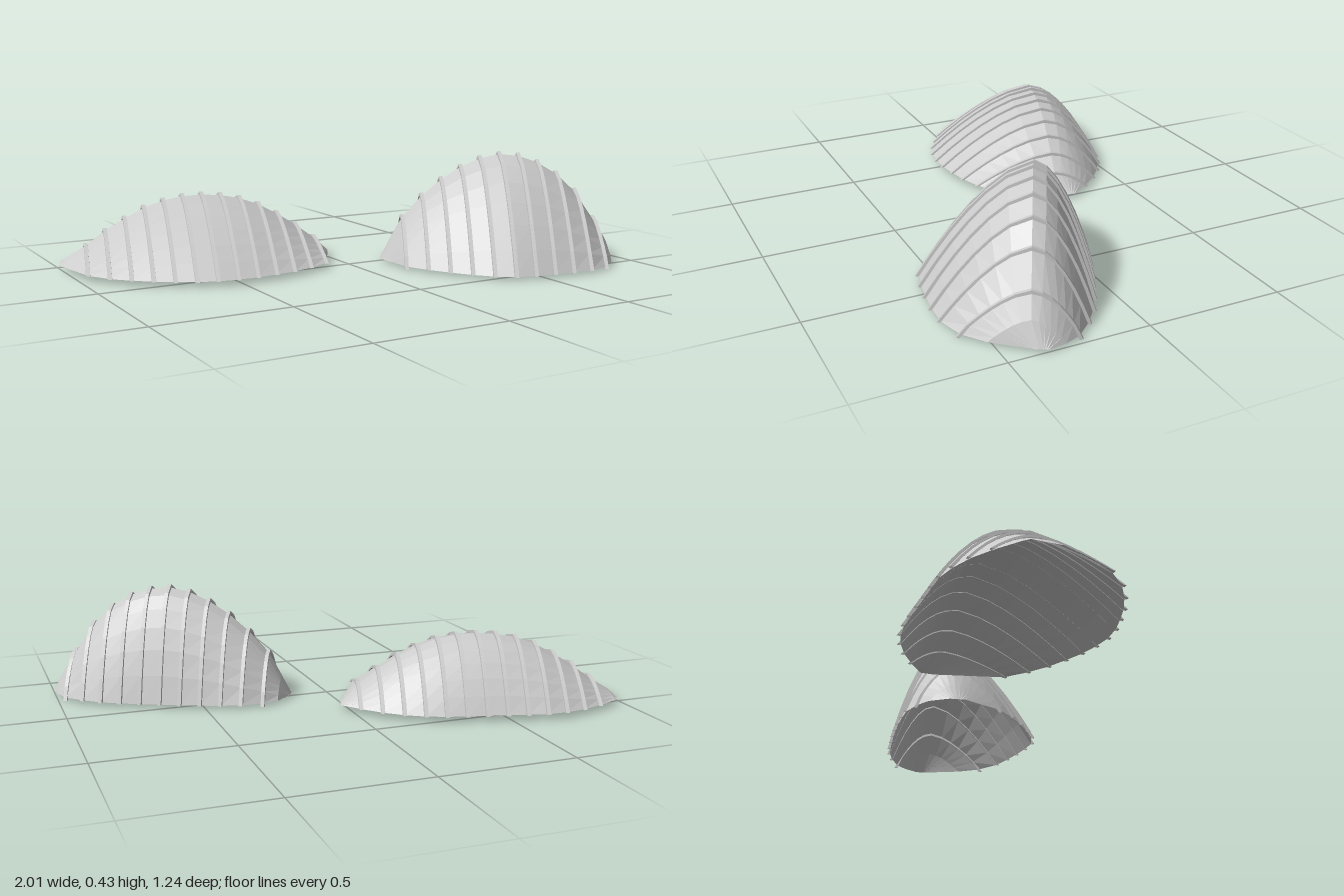
import * as THREE from 'three';

const material = new THREE.MeshStandardMaterial({ color: 0xcccccc, flatShading: true, side: THREE.DoubleSide });
const SIDE = 6; // facets on each side of the crown

// Surface through rows of points that all have the same length
function loft(rows, name) {
  const n = rows[0].length, index = [];
  for (let i = 0; i < rows.length - 1; i++)
    for (let j = 0; j < n - 1; j++) {
      const a = i * n + j, b = a + n;
      index.push(a, a + 1, b, a + 1, b + 1, b);
    }
  const geometry = new THREE.BufferGeometry();
  geometry.setAttribute('position', new THREE.Float32BufferAttribute(rows.flat(2), 3));
  geometry.setIndex(index);
  geometry.computeVertexNormals();
  const mesh = new THREE.Mesh(geometry, material);
  mesh.name = name;
  return mesh;
}

// Station [u, back edge, front edge, height] at u, read from the table
function stationAt(table, u) {
  let i = 1;
  while (i < table.length - 1 && table[i][0] < u) i++;
  const a = table[i - 1], b = table[i], t = (u - a[0]) / (b[0] - a[0]);
  return a.map((v, k) => THREE.MathUtils.lerp(v, b[k], t));
}

// Arched section; grow pushes it outward, shift slides it along the length
function arch([u, back, front, h], crown, grow = 0, shift = 0, drop = 0) {
  const width = front - back;
  const c = THREE.MathUtils.clamp(crown, back + 0.25 * width, back + 0.75 * width);
  const points = [];
  for (let j = -SIDE; j <= SIDE; j++) {
    const t = Math.sign(j) * Math.pow(Math.abs(j) / SIDE, 0.85);
    const v = c + Math.abs(t) * ((t < 0 ? back : front) - c) + grow * t;
    const y = h * (1 - Math.pow(Math.abs(t), t < 0 ? 1.9 : 1.6)) + grow * (1 - Math.abs(t));
    points.push([u + shift, Math.abs(j) === SIDE ? -drop : y, v]);
  }
  return points;
}

function ribbedShell({ name, table, crown, angle, base, first, last, count, drop }) {
  const group = new THREE.Group();
  group.name = name;
  // Thin open dome
  group.add(loft(table.map((s) => arch(s, crown)), name + 'Dome'));
  // Raised bands across the dome
  for (let k = 0; k < count; k++) {
    const s = stationAt(table, first + ((last - first) * k) / (count - 1));
    const d = k === 0 || k === count - 1 ? drop : 0;
    const rows = [[0, -0.008], [0.012, -0.007], [0.012, 0.007], [0, 0.008]]
      .map(([grow, shift]) => arch(s, crown, grow, shift, d));
    group.add(loft(rows, name + 'Rib'));
  }
  group.rotation.y = -angle;
  group.position.y = base;
  return group;
}

export function createModel() {
  const model = new THREE.Group();
  model.name = 'ribbedShells';
  // Long low shell
  model.add(ribbedShell({
    name: 'lowShell', crown: -0.18, angle: 0.27, base: 0.02, first: -0.99, last: -0.102, count: 13, drop: 0,
    table: [
      [-1.085, -0.25, -0.14, 0], [-1.065, -0.27, -0.1, 0.02], [-0.99, -0.328, 0.057, 0.065],
      [-0.916, -0.375, 0.132, 0.12], [-0.842, -0.405, 0.178, 0.165], [-0.768, -0.423, 0.213, 0.205],
      [-0.694, -0.424, 0.238, 0.23], [-0.62, -0.424, 0.258, 0.244], [-0.546, -0.424, 0.265, 0.248],
      [-0.472, -0.425, 0.255, 0.243], [-0.398, -0.423, 0.236, 0.229], [-0.324, -0.414, 0.205, 0.202],
      [-0.25, -0.391, 0.17, 0.163], [-0.176, -0.355, 0.12, 0.115], [-0.102, -0.305, 0.055, 0.06],
      [-0.035, -0.25, -0.2, 0],
    ],
  }));
  // Short tall shell
  model.add(ribbedShell({
    name: 'tallShell', crown: -0.075, angle: 0.47, base: 0.01, first: 0.215, last: 0.975, count: 11, drop: 0.01,
    table: [
      [0.13, -0.1, -0.04, 0], [0.165, -0.175, 0.02, 0.07], [0.215, -0.217, 0.11, 0.16],
      [0.291, -0.253, 0.175, 0.245], [0.367, -0.264, 0.225, 0.31], [0.443, -0.272, 0.27, 0.358],
      [0.519, -0.276, 0.302, 0.392], [0.595, -0.278, 0.316, 0.408], [0.671, -0.278, 0.3, 0.401],
      [0.747, -0.278, 0.277, 0.375], [0.823, -0.273, 0.25, 0.33], [0.899, -0.255, 0.215, 0.26],
      [0.975, -0.226, 0.148, 0.15], [1.02, -0.185, 0.06, 0.08], [1.058, -0.13, -0.09, 0],
    ],
  }));
  return model;
}
